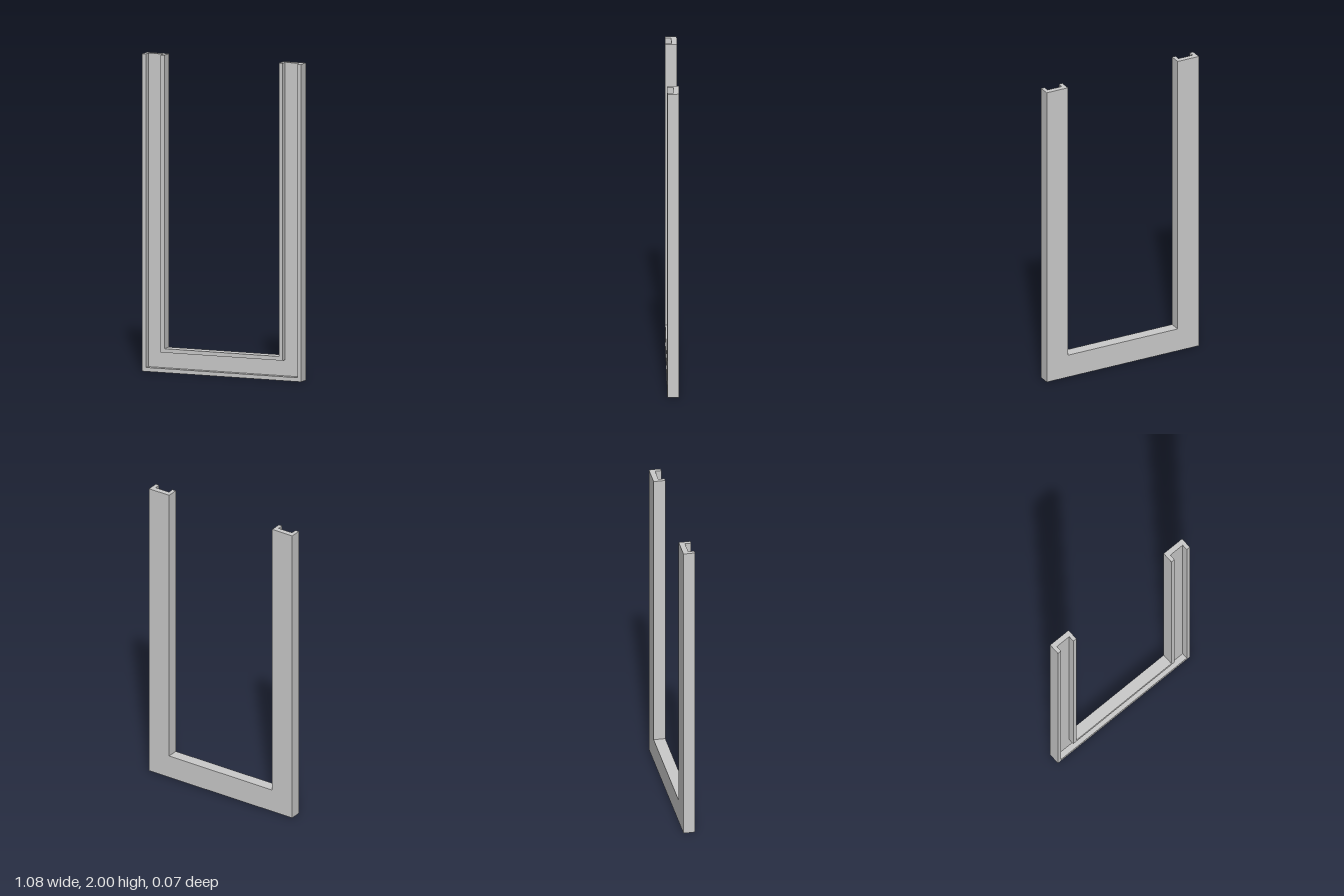
import * as THREE from 'three';

const HEIGHT = 2, INNER_X = 0.39, WIDTH = 0.151, HALF_DEPTH = 0.037;
const RIM = 0.025, FLOOR_Z = -0.002;

// Channel cross-section: x = distance outward from the opening, y = depth (front is +)
const section = [
  [0, -HALF_DEPTH], [WIDTH, -HALF_DEPTH], [WIDTH, HALF_DEPTH], [WIDTH - RIM, HALF_DEPTH],
  [WIDTH - RIM, FLOOR_Z], [RIM, FLOOR_Z], [RIM, HALF_DEPTH], [0, HALF_DEPTH],
].map(([d, z]) => new THREE.Vector2(d, z));

// Mitred stations of the U: left top, left corner, right corner, right top
const stations = [[-1, false], [-1, true], [1, true], [1, false]];

function channelGeometry() {
  const n = section.length, positions = [], index = [];
  for (const [side, corner] of stations) {
    for (const p of section) {
      positions.push(side * (INNER_X + p.x), corner ? WIDTH - p.x : HEIGHT, p.y);
    }
  }
  // Walls between neighbouring stations
  for (let s = 0; s < stations.length - 1; s++) {
    for (let k = 0; k < n; k++) {
      const k2 = (k + 1) % n;
      const a = s * n + k, b = a + n, c = (s + 1) * n + k2, d = s * n + k2;
      index.push(a, b, c, a, c, d);
    }
  }
  // Caps on the two open upper ends
  const last = (stations.length - 1) * n;
  for (const [a, b, c] of THREE.ShapeUtils.triangulateShape(section, [])) {
    index.push(a, b, c, last + a, last + c, last + b);
  }
  const indexed = new THREE.BufferGeometry();
  indexed.setAttribute('position', new THREE.Float32BufferAttribute(positions, 3));
  indexed.setIndex(index);
  const geometry = indexed.toNonIndexed(); // hard edges
  geometry.computeVertexNormals();
  return geometry;
}

export function createModel() {
  const group = new THREE.Group();
  group.name = 'openFrame';
  const material = new THREE.MeshStandardMaterial({ color: 0xcccccc });
  const channel = new THREE.Mesh(channelGeometry(), material);
  channel.name = 'uShapedChannel';
  group.add(channel);
  return group;
}
